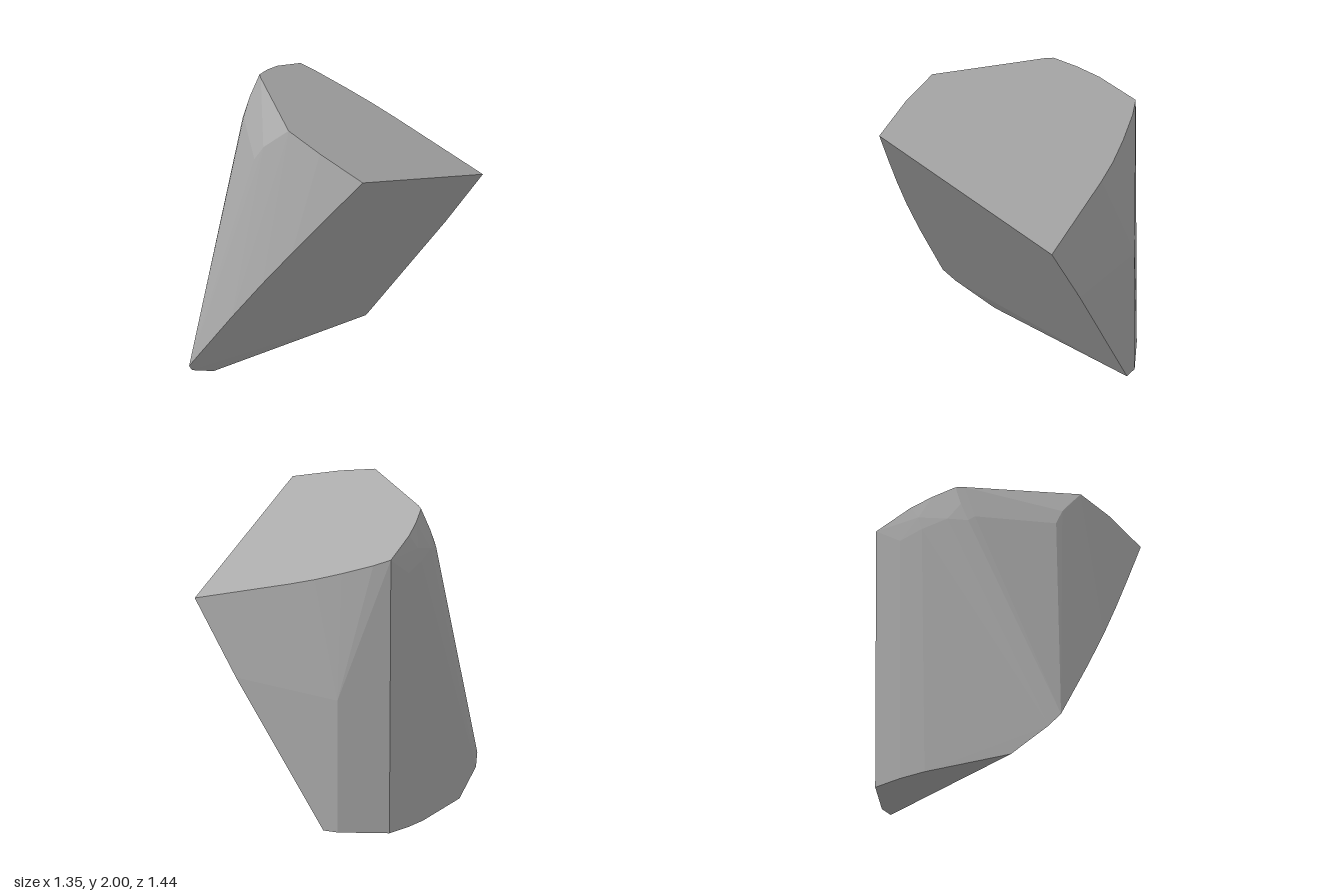
import * as THREE from 'three';
import { ConvexGeometry } from 'three/addons/geometries/ConvexGeometry.js';

// Heights of the two clean fracture planes
const topY = (x, z) => 1.8145 - 0.25 * x + 0.416 * z;
const cutY = (x, z) => 0.686 + 1.448 * x + 0.43 * z;

export function createModel() {
  const group = new THREE.Group();
  group.name = 'rockFragment';
  const stone = new THREE.MeshStandardMaterial({ color: 0xaaaaaa, flatShading: true });
  stone.name = 'grey stone';

  // Outline of the sloping top face (x, z)
  const topRim = [
    [0.67, -0.69], [0.66, 0.525], [0.32, 0.515], [0.05, 0.48], [0, 0.437],
    [-0.53, 0], [-0.57, -0.04], [-0.615, -0.18], [-0.645, -0.32], [-0.655, -0.57],
    [-0.55, -0.605], [-0.35, -0.645], [-0.17, -0.67], [0, -0.68],
  ];
  // Bowed front edge and back edge of the overhanging side face (x, z)
  const cutRim = [
    [-0.57, 0.65], [-0.54, 0.72], [-0.51, 0.72], [-0.22, 0.71], [0, 0.685],
    [0.2, 0.645], [0.4, 0.595], [0.36, -0.72],
  ];
  // Outline of the base (x, z)
  const baseRim = [
    [-0.26, -0.72], [-0.36, -0.72], [-0.65, -0.58], [-0.667, -0.45],
    [-0.675, -0.38], [-0.675, -0.2], [-0.6, 0.39],
  ];
  // Chipped corners between the faces (x, y, z)
  const chips = [
    [-0.36, 0.84, -0.72],
    [-0.06, 1.9, 0.475], [-0.15, 1.81, 0.475], [-0.22, 1.7, 0.475],
    [-0.58, 1.7, 0.11], [-0.61, 1.67, 0.08], [-0.6, 1.8, 0.02],
    [-0.645, 1.7, -0.05], [-0.667, 1.75, -0.25],
    [-0.675, 1.66, -0.22], [-0.675, 1.62, -0.38],
  ];

  const points = [
    ...topRim.map(([x, z]) => new THREE.Vector3(x, topY(x, z), z)),
    ...cutRim.map(([x, z]) => new THREE.Vector3(x, cutY(x, z), z)),
    ...baseRim.map(([x, z]) => new THREE.Vector3(x, 0, z)),
    ...chips.map((p) => new THREE.Vector3(...p)),
  ];

  const rock = new THREE.Mesh(new ConvexGeometry(points), stone);
  rock.name = 'rock';
  group.add(rock);
  return group;
}
